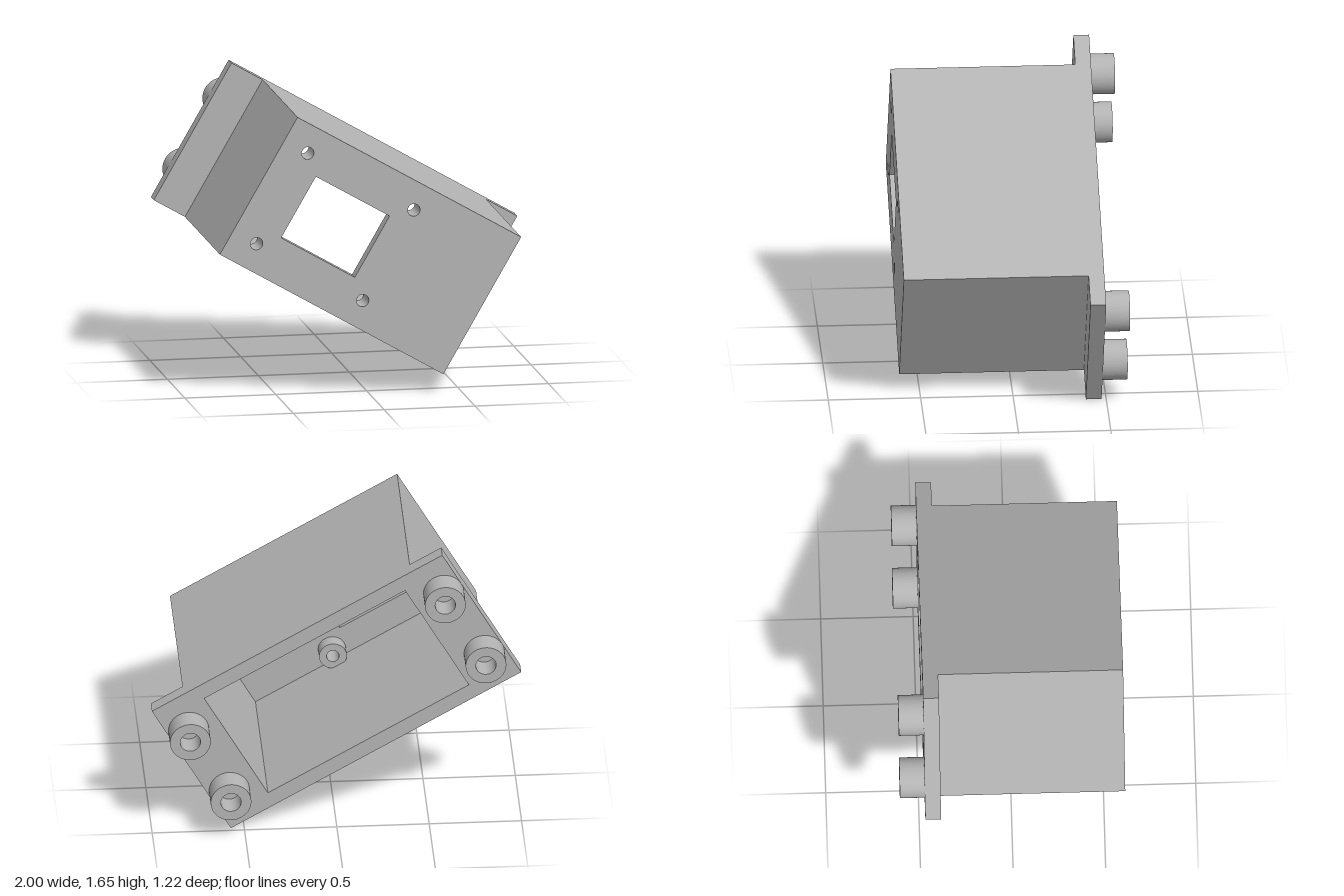
import * as THREE from 'three';

const HALF_H = 0.4275;   // half height of housing and flange
const BODY = 0.71;       // half length of the housing
const FLANGE = 0.9075;   // half length of the flange
const CAV_U = 0.628, CAV_V = 0.345; // half size of the cavity
const Z_BACK = -0.475, Z_FLANGE = -0.39, Z_INNER = 0.53, Z_FRONT = 0.61;

function rect(path, u, v, hu, hv) {
  path.moveTo(u - hu, v - hv);
  path.lineTo(u + hu, v - hv);
  path.lineTo(u + hu, v + hv);
  path.lineTo(u - hu, v + hv);
  path.closePath();
  return path;
}

function circle(path, u, v, r) {
  path.absarc(u, v, r, 0, Math.PI * 2, false);
  return path;
}

export function createModel() {
  const grey = new THREE.MeshStandardMaterial({ color: 0xb4b4b4 });
  grey.name = 'plain grey';

  const model = new THREE.Group();
  model.name = 'flangedHousing';
  const body = new THREE.Group();
  body.name = 'tiltedBody';
  body.rotation.z = -Math.PI / 6;
  body.position.y = 0.824;
  model.add(body);

  // Extrudes an outline from z0 to z1
  const slab = (name, shape, z0, z1) => {
    const geo = new THREE.ExtrudeGeometry(shape, { depth: z1 - z0, bevelEnabled: false, curveSegments: 40 });
    geo.translate(0, 0, z0);
    const mesh = new THREE.Mesh(geo, grey);
    mesh.name = name;
    body.add(mesh);
  };

  // Mounting flange around the open back
  const flange = rect(new THREE.Shape(), 0, 0, FLANGE, HALF_H);
  flange.holes.push(rect(new THREE.Path(), 0, 0, CAV_U, CAV_V));
  slab('flange', flange, Z_BACK, Z_FLANGE);

  // Four housing walls
  const walls = rect(new THREE.Shape(), 0, 0, BODY, HALF_H);
  walls.holes.push(rect(new THREE.Path(), 0, 0, CAV_U, CAV_V));
  slab('housingWalls', walls, Z_FLANGE, Z_INNER);

  // Front plate with window and screw holes
  const corners = [[-1, -1], [1, -1], [1, 1], [-1, 1]];
  const screws = corners.map(([a, b]) => [-0.224 + a * 0.337, b * 0.282]);
  const front = rect(new THREE.Shape(), 0, 0, BODY, HALF_H);
  front.holes.push(rect(new THREE.Path(), -0.223, 0, 0.234, 0.191));
  for (const [u, v] of screws) front.holes.push(circle(new THREE.Path(), u, v, 0.034));
  slab('frontPlate', front, Z_INNER, Z_FRONT);

  // Short standoffs behind the screw holes
  for (const [u, v] of screws) {
    const ring = circle(new THREE.Shape(), u, v, 0.075);
    ring.holes.push(circle(new THREE.Path(), u, v, 0.034));
    slab('standoff', ring, 0.45, Z_INNER);
  }

  // Hollow feet on the back of the flange
  for (const [a, b] of corners) {
    const foot = circle(new THREE.Shape(), a * 0.797, b * 0.22, 0.11);
    foot.holes.push(circle(new THREE.Path(), a * 0.797, b * 0.22, 0.055));
    slab('foot', foot, -0.61, Z_BACK);
  }

  return model;
}
